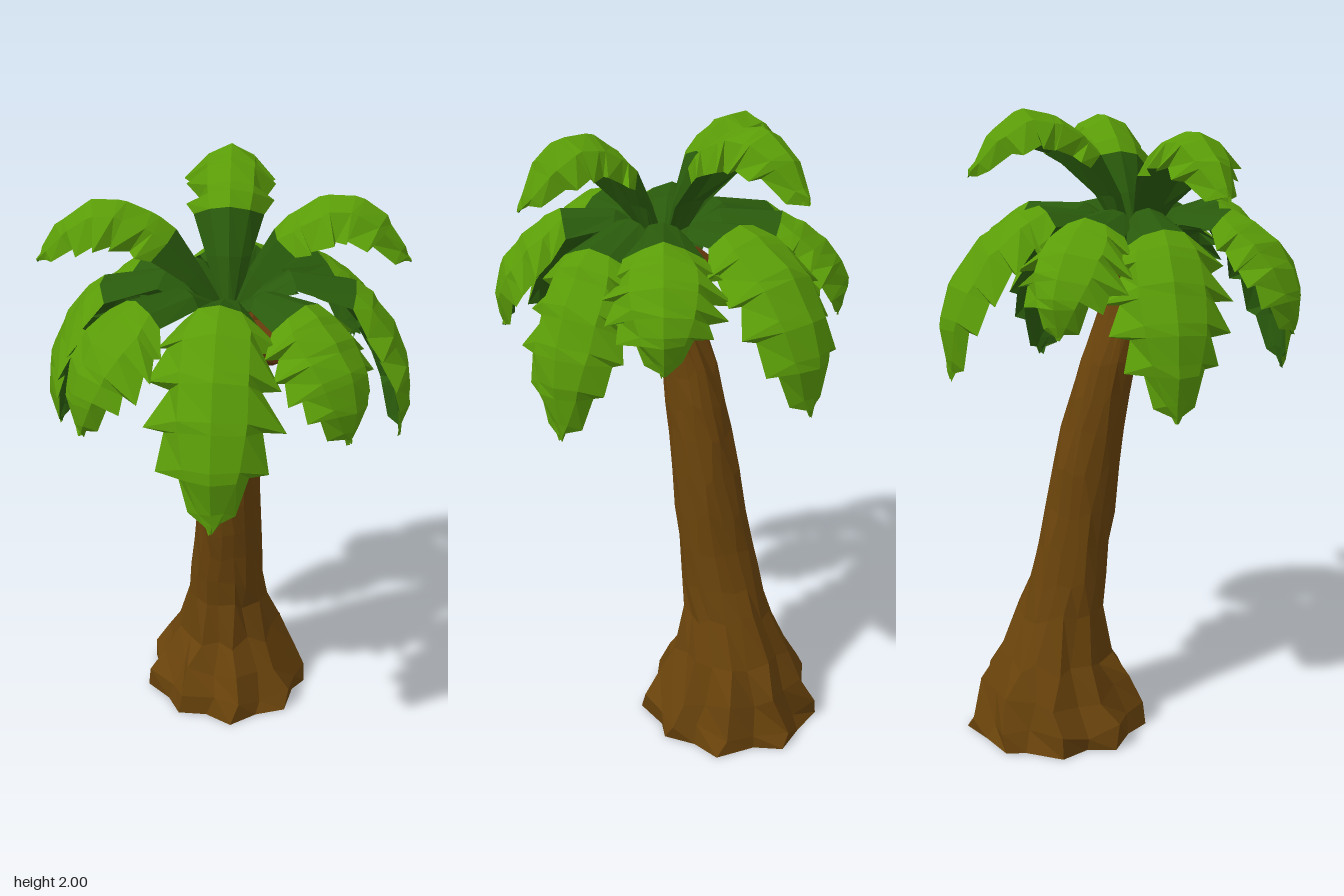
import * as THREE from 'three';

const mat = (name, color) => new THREE.MeshStandardMaterial({ name, color, flatShading: true });

// Small seeded noise in -1..1
function makeNoise(seed) {
  let s = seed;
  return () => {
    s = (s * 16807) % 2147483647;
    return (s / 2147483647) * 2 - 1;
  };
}

// Surface through rows of points
function surface(rows, flip = false) {
  const n = rows[0].length, index = [];
  for (let i = 0; i < rows.length - 1; i++) {
    for (let j = 0; j < n - 1; j++) {
      const a = i * n + j, b = a + 1, c = a + n, d = c + 1;
      if (flip) index.push(a, c, b, b, c, d);
      else index.push(a, b, c, b, d, c);
    }
  }
  const g = new THREE.BufferGeometry().setFromPoints(rows.flat());
  g.setIndex(index);
  g.computeVertexNormals();
  return g;
}

function part(name, geometry, material) {
  const m = new THREE.Mesh(geometry, material);
  m.name = name;
  return m;
}

// Leaning trunk, open below, with lobed root flare: [y, x, z, radius, lobe depth]
function trunkGeometry() {
  const rings = [
    [0, -0.02, -0.25, 0.278, 0.06], [0.06, -0.02, -0.25, 0.27, 0.07],
    [0.15, -0.02, -0.255, 0.23, 0.07], [0.25, -0.02, -0.262, 0.18, 0.05],
    [0.4, -0.02, -0.235, 0.138, 0.03], [0.5, -0.018, -0.21, 0.127, 0],
    [0.62, -0.015, -0.186, 0.118, 0], [0.74, -0.01, -0.163, 0.114, 0],
    [0.87, -0.01, -0.14, 0.108, 0], [1.0, -0.01, -0.115, 0.1, 0],
    [1.1, -0.012, -0.09, 0.095, 0], [1.2, -0.015, -0.06, 0.088, 0],
    [1.36, -0.01, -0.005, 0.082, 0], [1.5, 0, 0.035, 0.08, 0],
    [1.57, 0, 0.045, 0.06, 0], [1.58, 0, 0.045, 0, 0],
  ];
  const sides = 18, noise = makeNoise(77);
  const rows = rings.map(([y, x, z, r, lobe], k) => {
    const row = [];
    for (let j = 0; j < sides; j++) {
      const a = (j + noise() * 0.25) / sides * Math.PI * 2;
      const rr = r * (1 + (j % 2 ? -lobe : lobe) + noise() * 0.04);
      const yy = k === 0 || r === 0 ? y : y + noise() * 0.022;
      row.push(new THREE.Vector3(x + Math.cos(a) * rr, yy, z - Math.sin(a) * rr));
    }
    row.push(row[0].clone());
    return row;
  });
  return surface(rows);
}

// Arched, saw-edged frond growing along +x
function frond(name, { path, halfWidth, stemWidth, drop, lightFrom, seed }, mats) {
  const curve = new THREE.CatmullRomCurve3(path.map(([r, y]) => new THREE.Vector3(r, y, 0)));
  const noise = makeNoise(seed);
  const steps = [[0, 1, 0], [lightFrom * 0.5, 1, 0], [lightFrom, 1, 0]];
  const teeth = 5;
  for (let i = 0; i < teeth; i++) {
    const s = lightFrom + (1 - lightFrom) * (i + 0.55) / teeth;
    steps.push([s, 1.08, halfWidth * 0.13], [s + 0.035, 0.8, 0]);
  }
  steps.push([1, 1, 0]);
  const keys = [[0, 0.2], [lightFrom, stemWidth], [lightFrom + 0.08, 0.95], [0.65, 1], [0.77, 0.88], [0.9, 0.55], [1, 0.04]];
  const widthAt = (s) => {
    let k = 1;
    while (k < keys.length - 1 && s > keys[k][0]) k++;
    const [s0, w0] = keys[k - 1], [s1, w1] = keys[k];
    return halfWidth * THREE.MathUtils.lerp(w0, w1, (s - s0) / (s1 - s0));
  };
  const top = [], under = [];
  steps.forEach(([s, wide, sweep]) => {
    const p = curve.getPointAt(s), t = curve.getTangentAt(s);
    const normal = new THREE.Vector3(-t.y, t.x, 0);
    const w = widthAt(s), fold = drop * w / halfWidth;
    const rowT = [], rowU = [];
    for (const u of [-1, -0.55, 0, 0.55, 1]) {
      const edge = Math.abs(u) === 1;
      const v = p.clone()
        .addScaledVector(normal, -fold * u * u + noise() * 0.006)
        .addScaledVector(t, edge ? sweep + noise() * 0.01 : 0);
      v.z += u * w * (edge ? wide + noise() * 0.08 : 1);
      rowT.push(v);
      rowU.push(v.clone().addScaledVector(normal, -0.035 * (1 - u * u) * Math.min(1, 4 * (1 - s))));
    }
    top.push(rowT);
    under.push(rowU);
  });
  const g = new THREE.Group();
  g.name = name;
  g.add(
    part('frondStem', surface(top.slice(0, 3)), mats.dark),
    part('frondBlade', surface(top.slice(2)), mats.light),
    part('frondUnderside', surface(under, true), mats.dark),
  );
  return g;
}

export function createModel() {
  const mats = {
    light: mat('leafGreen', 0x5a9c08),
    dark: mat('deepGreen', 0x295a0c),
    bark: mat('barkBrown', 0x68420b),
    nut: mat('nutBrown', 0x643a0c),
  };
  mats.bark.side = THREE.DoubleSide;
  const model = new THREE.Group();
  model.name = 'palmTree';
  model.add(part('trunk', trunkGeometry(), mats.bark));

  // Nuts clustered under the crown
  [[0.11, 1.49, 0.04], [-0.08, 1.49, 0.04], [0.02, 1.46, 0.06], [-0.05, 1.5, -0.03], [0.07, 1.5, -0.03]]
    .forEach(([x, y, z], i) => {
      const nut = part('nut', new THREE.DodecahedronGeometry(0.08), mats.nut);
      nut.position.set(x, y, z);
      nut.rotation.set(i, i * 2, 0);
      model.add(nut);
    });

  const crown = new THREE.Group();
  crown.name = 'crown';
  crown.position.z = 0.04;
  model.add(crown);
  const place = (f, x, z) => {
    f.rotation.y = Math.atan2(-z, x);
    crown.add(f);
  };

  // Lower tier: direction x, z, reach, tip height, start of the light blade
  const lower = [
    [-0.02, 1, 0.57, 1.13, 0.29], [0.02, -1, 0.65, 1.19, 0.34],
    [0.59, -0.13, 0.59, 1.13, 0.42], [-0.59, -0.13, 0.6, 1.13, 0.42],
    [0.4, 0.36, 0.53, 1.33, 0.43], [-0.43, 0.36, 0.56, 1.33, 0.43],
    [0.4, -0.4, 0.58, 1.36, 0.48], [-0.37, -0.41, 0.58, 1.36, 0.48],
  ];
  lower.forEach(([x, z, reach, tip, lightFrom], i) => {
    const k = reach / 0.57, d = (1.71 - tip) / 0.58;
    const path = [[0, 1.6], [0.1, 1.67], [0.24, 1.72], [0.41, 1.645], [0.52, 1.49], [0.568, 1.32], [0.545, 1.13]]
      .map(([r, y], j) => [r * k, j > 2 ? 1.71 - (1.71 - y) * d : y]);
    place(frond('lowerFrond', { path, halfWidth: 0.18, stemWidth: 0.62, drop: 0.1, lightFrom, seed: 101 + i * 57 }, mats), x, z);
  });

  // Upper tier: direction x, z, reach, lift
  [[0.53, 0.04, 0.54, 0], [-0.56, 0.03, 0.57, -0.03], [-0.02, -0.5, 0.56, 0.025]].forEach(([x, z, reach, lift], i) => {
    const k = reach / 0.54;
    const path = [[0.01, 1.6], [0.07, 1.75], [0.15, 1.88], [0.26, 1.955], [0.37, 1.97], [0.47, 1.9], [0.54, 1.78]]
      .map(([r, y], j) => [r * k, y + (j ? lift : 0)]);
    place(frond('upperFrond', { path, halfWidth: 0.135, stemWidth: 0.82, drop: 0.11, lightFrom: 0.35, seed: 907 + i * 91 }, mats), x, z);
  });
  return model;
}
